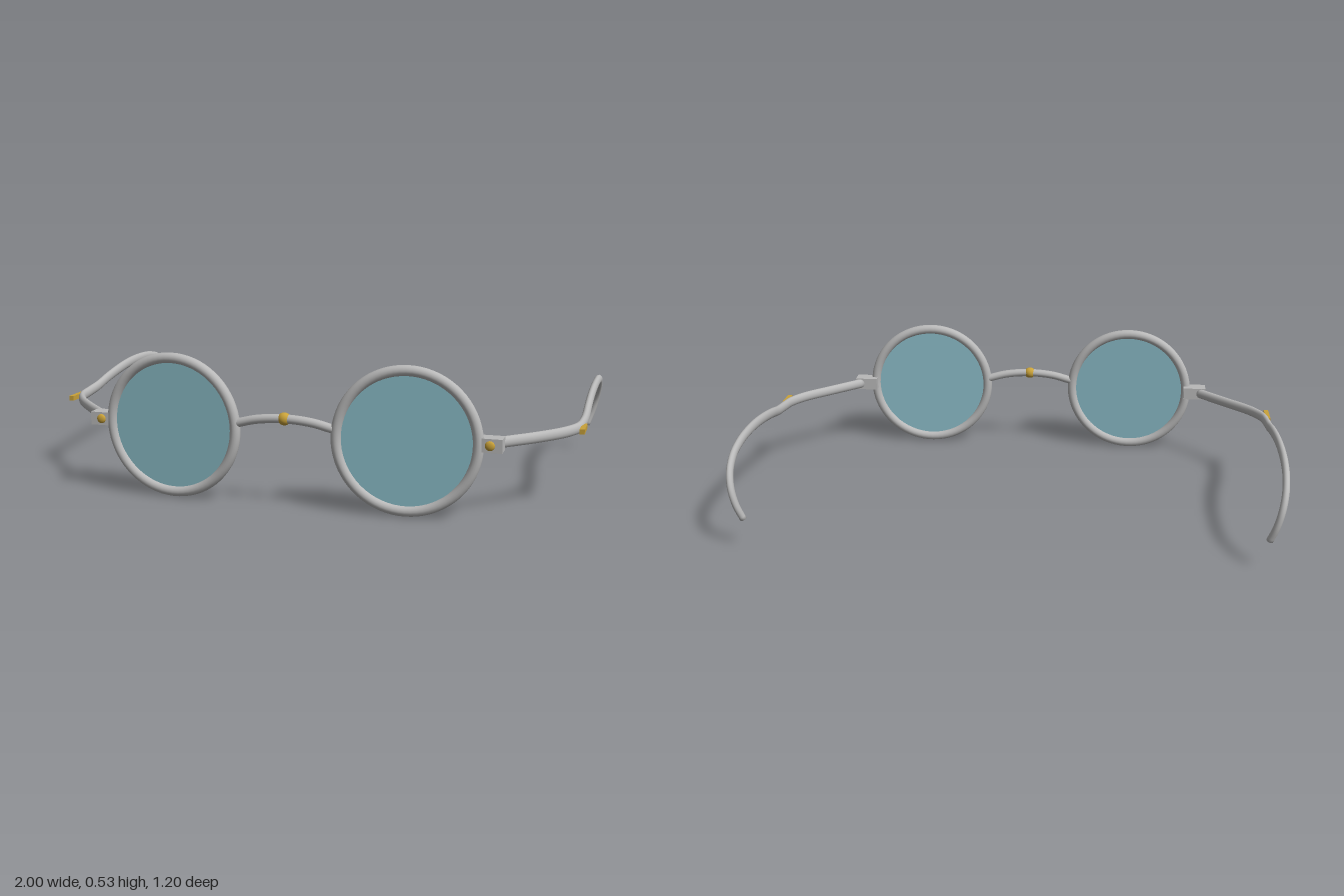
import * as THREE from 'three';

const silver = new THREE.MeshStandardMaterial({ color: 0xb9b9b9 });
silver.name = 'silver metal';
const gold = new THREE.MeshStandardMaterial({ color: 0xc9a23a });
gold.name = 'gold metal';
const glass = new THREE.MeshStandardMaterial({ color: 0x8abcc7 });
glass.name = 'teal glass';

function add(parent, name, geometry, material, x = 0, y = 0, z = 0) {
  const mesh = new THREE.Mesh(geometry, material);
  mesh.name = name;
  mesh.position.set(x, y, z);
  parent.add(mesh);
  return mesh;
}

// Tapering oval sweep along a curve, closed at both ends
function ovalSweep(curve, s, size, steps = 110, sides = 16) {
  const pos = [], index = [];
  for (let i = -1; i <= steps + 1; i++) {
    const u = Math.min(Math.max(i / steps, 0), 1);
    const p = curve.getPointAt(u), t = curve.getTangentAt(u);
    const side = new THREE.Vector3(s, 0, 0.8 * (1 - u));
    side.addScaledVector(t, -side.dot(t)).normalize();
    const up = new THREE.Vector3().crossVectors(t, side);
    const [w, h] = i < 0 || i > steps ? [0, 0] : size(u);
    for (let j = 0; j < sides; j++) {
      const a = (j / sides) * Math.PI * 2;
      const q = p.clone().addScaledVector(side, Math.cos(a) * w).addScaledVector(up, Math.sin(a) * h);
      pos.push(q.x, q.y, q.z);
      if (i > steps) continue;
      const r = (i + 1) * sides, k = (j + 1) % sides;
      index.push(r + j, r + k, r + sides + j, r + k, r + sides + k, r + sides + j);
    }
  }
  const g = new THREE.BufferGeometry();
  g.setAttribute('position', new THREE.Float32BufferAttribute(pos, 3));
  g.setIndex(index);
  g.computeVertexNormals();
  return g;
}

// Temple centre line: out from the hinge, back along the head, hooked behind the ear
const templePath = [
  [0.73, 0.27, 0.515], [0.78, 0.27, 0.465], [0.845, 0.27, 0.4], [0.93, 0.272, 0.305],
  [0.97, 0.274, 0.23], [0.98, 0.278, 0.16], [0.983, 0.287, 0.08], [0.983, 0.305, 0],
  [0.983, 0.323, -0.1], [0.984, 0.335, -0.2], [0.985, 0.339, -0.3], [0.985, 0.334, -0.4],
  [0.983, 0.314, -0.49], [0.978, 0.276, -0.55], [0.968, 0.225, -0.581],
  [0.953, 0.165, -0.587], [0.933, 0.107, -0.577],
];

function sidePiece(s) {
  const side = new THREE.Group();
  side.name = s > 0 ? 'leftSide' : 'rightSide';

  // Rim and lens, turned slightly outward
  const eye = new THREE.Group();
  eye.name = 'eyepiece';
  eye.position.set(s * 0.43, 0.264, 0.563);
  eye.rotation.y = s * 0.055;
  side.add(eye);
  add(eye, 'rim', new THREE.TorusGeometry(0.245, 0.019, 16, 72), silver);
  add(eye, 'lens', new THREE.CylinderGeometry(0.235, 0.235, 0.008, 64).rotateX(Math.PI / 2), glass);

  // Hinge block with its screw
  add(side, 'hinge', new THREE.BoxGeometry(0.092, 0.048, 0.058), silver, s * 0.711, 0.269, 0.534);
  add(side, 'hingeScrew', new THREE.SphereGeometry(0.017, 20, 14).scale(1, 1, 0.5), gold, s * 0.715, 0.269, 0.563);

  // Temple arm, tapering to a rounder tip
  const curve = new THREE.CatmullRomCurve3(templePath.map(([x, y, z]) => new THREE.Vector3(s * x, y, z)));
  const size = (u) => [0.0145 - 0.002 * u, 0.02 - 0.0075 * Math.max(0, (u - 0.5) * 2) ** 2];
  add(side, 'temple', ovalSweep(curve, s, size), silver);

  // Inlay bar on the outside of the temple
  add(side, 'templeInlay', new THREE.BoxGeometry(0.018, 0.018, 0.1), gold, s * 0.99, 0.274, 0.238);
  return side;
}

export function createModel() {
  const model = new THREE.Group();
  model.name = 'roundGlasses';
  for (const s of [-1, 1]) model.add(sidePiece(s));

  // Arched bridge with a bead in the middle
  const arch = new THREE.CatmullRomCurve3([
    [-0.185, 0.29, 0.575], [-0.1, 0.311, 0.58], [0, 0.319, 0.582], [0.1, 0.311, 0.58], [0.185, 0.29, 0.575],
  ].map((p) => new THREE.Vector3(...p)));
  add(model, 'bridge', new THREE.TubeGeometry(arch, 40, 0.016, 14), silver);
  add(model, 'bridgeBead', new THREE.SphereGeometry(0.024, 24, 16).scale(1, 0.95, 0.85), gold, 0, 0.319, 0.582);
  return model;
}
